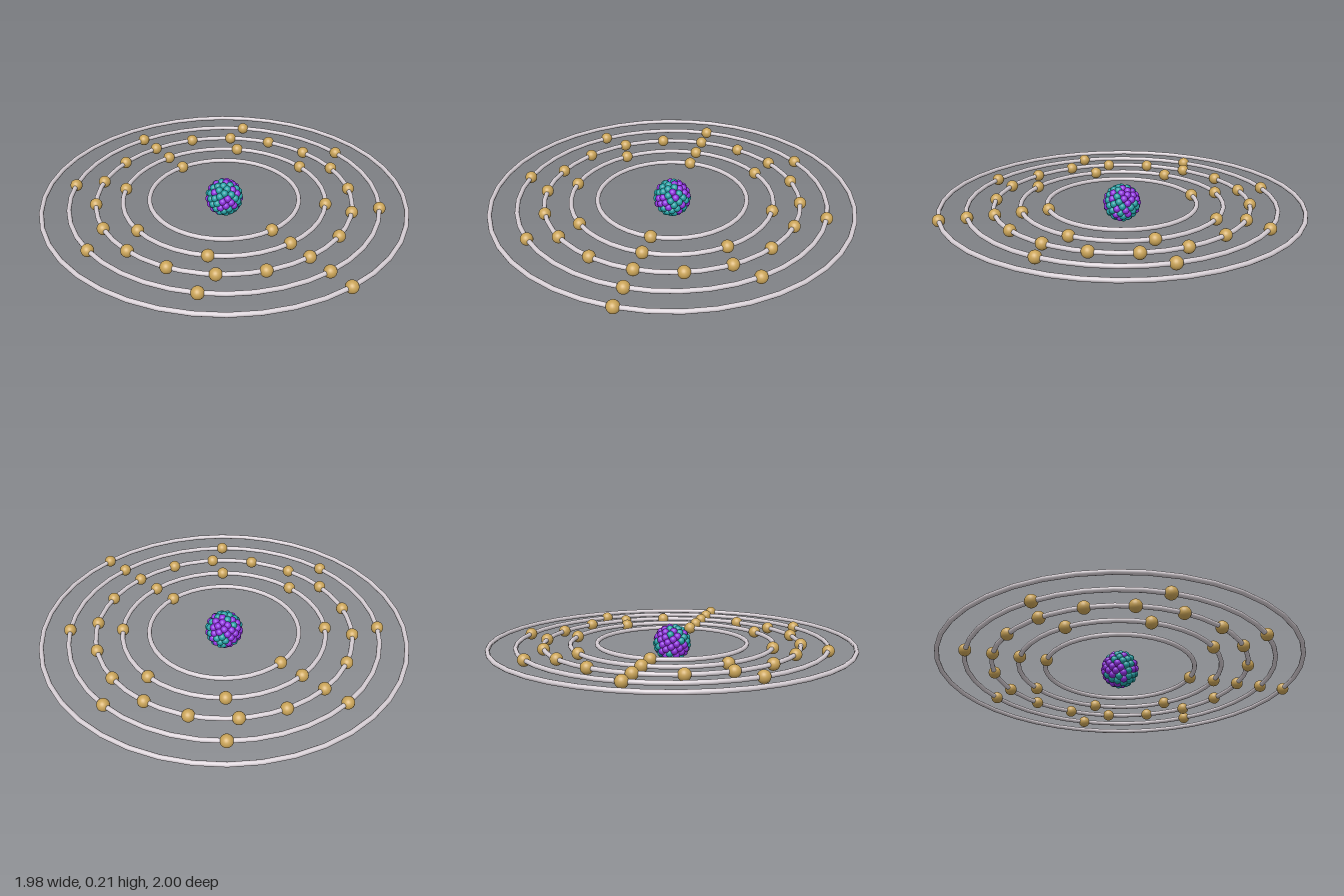
import * as THREE from 'three';

const CENTER_Z = -0.011;
const ORBIT_Y = 0.107;
const NUCLEUS_Y = 0.104;

function material(color) {
  return new THREE.MeshStandardMaterial({ color });
}

// Small seeded generator for mixing the two nucleon colours
function seeded(seed) {
  return () => {
    seed = (seed * 16807) % 2147483647;
    return seed / 2147483647;
  };
}

// Ball of touching spheres, evenly spread over a shell
function createNucleus() {
  const nucleus = new THREE.Group();
  nucleus.name = 'nucleus';
  nucleus.position.y = NUCLEUS_Y;
  const ball = new THREE.SphereGeometry(0.02, 16, 12);
  const proton = material(0x8f2fe0);
  const neutron = material(0x22a0a4);
  const random = seeded(37);
  const count = 92;
  const golden = Math.PI * (3 - Math.sqrt(5));
  for (let i = 0; i < count; i++) {
    const h = 1 - (2 * (i + 0.5)) / count;
    const r = Math.sqrt(1 - h * h);
    const isProton = random() < 0.46;
    const mesh = new THREE.Mesh(ball, isProton ? proton : neutron);
    mesh.name = isProton ? 'proton' : 'neutron';
    mesh.position.set(r * Math.cos(golden * i), h, r * Math.sin(golden * i)).multiplyScalar(0.084);
    nucleus.add(mesh);
  }
  return nucleus;
}

// One ring with its electrons spaced evenly, starting at the front
function createOrbit(index, electronCount, ringMaterial, electronMaterial, electronGeometry) {
  const orbit = new THREE.Group();
  orbit.name = 'orbit' + (index + 1);
  orbit.position.y = ORBIT_Y;
  const radius = 0.406 + 0.143 * index;

  const ring = new THREE.Mesh(new THREE.TorusGeometry(radius, 0.0125, 12, 40), ringMaterial);
  ring.name = 'ring';
  ring.rotation.x = Math.PI / 2;
  orbit.add(ring);

  for (let i = 0; i < electronCount; i++) {
    const a = (i / electronCount) * Math.PI * 2;
    const electron = new THREE.Mesh(electronGeometry, electronMaterial);
    electron.name = 'electron';
    electron.position.set(Math.sin(a) * radius, 0, Math.cos(a) * radius);
    orbit.add(electron);
  }
  return orbit;
}

export function createModel() {
  const model = new THREE.Group();
  model.name = 'atom';
  const body = new THREE.Group();
  body.name = 'atomBody';
  body.position.z = CENTER_Z;
  model.add(body);

  body.add(createNucleus());

  const ringMaterial = material(0xd6ced4);
  const electronMaterial = material(0xcaa458);
  const electronGeometry = new THREE.SphereGeometry(0.033, 24, 16);
  [2, 8, 18, 8, 1].forEach((count, i) => {
    body.add(createOrbit(i, count, ringMaterial, electronMaterial, electronGeometry));
  });
  return model;
}
